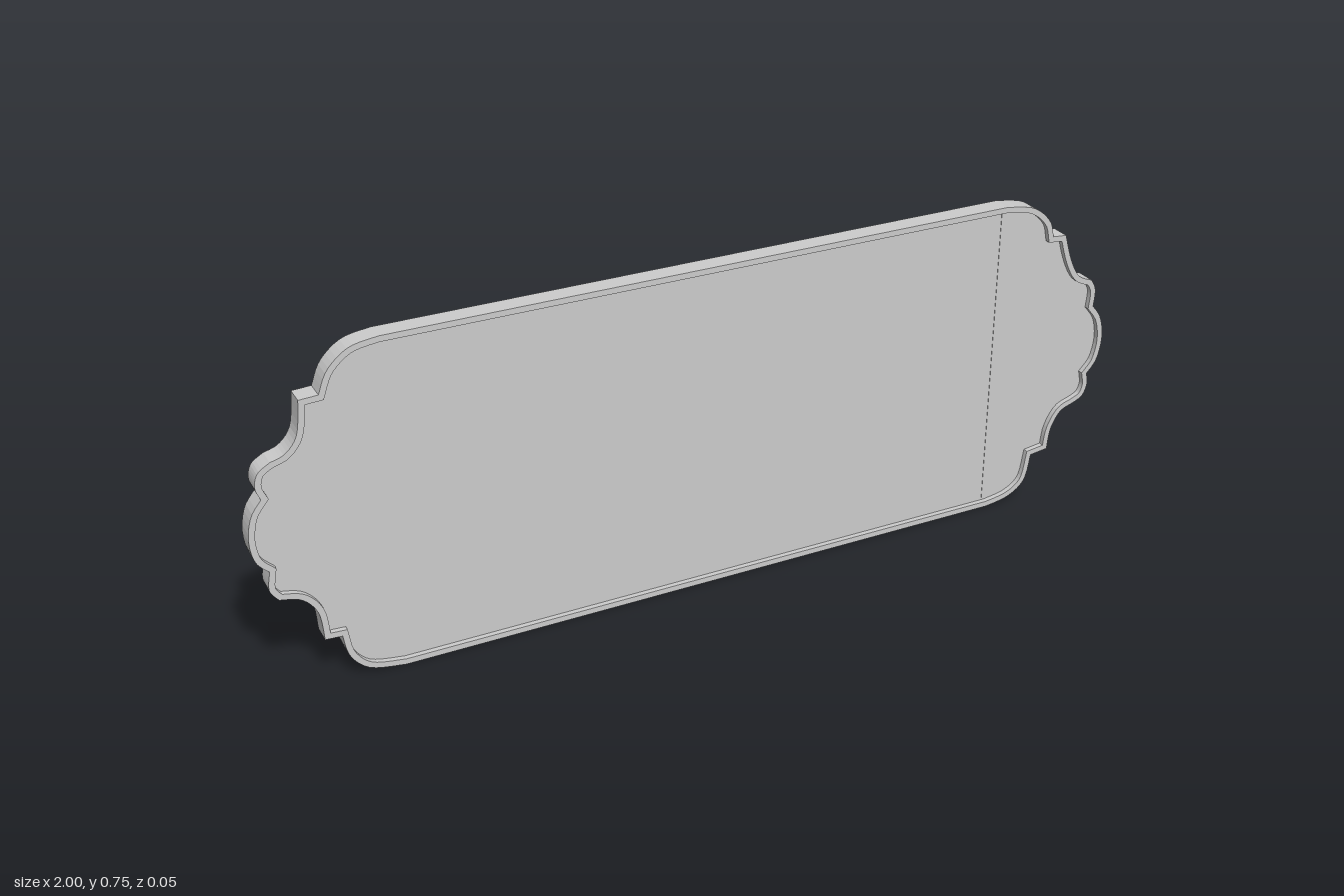
import * as THREE from 'three';

const BACK = -0.0225, FRONT = 0.0225, RECESS = 0.012, RIM = 0.013;

// Each end is a chain of curved lobes; corners stay sharp where lobes meet.
const rightLobes = [
  [[0.71, 0], [0.77, 0.012], [0.812, 0.045], [0.826, 0.108]],
  [[0.826, 0.108], [0.87, 0.114]],
  [[0.87, 0.114], [0.877, 0.165], [0.9, 0.205], [0.93, 0.218]],
  [[0.93, 0.218], [0.958, 0.232], [0.97, 0.26], [0.966, 0.289]],
  [[0.966, 0.289], [0.99, 0.32], [1, 0.374], [0.99, 0.426], [0.966, 0.46]],
  [[0.966, 0.46], [0.968, 0.5], [0.955, 0.527]],
  [[0.955, 0.527], [0.918, 0.545], [0.892, 0.59], [0.872, 0.652]],
  [[0.872, 0.652], [0.838, 0.655]],
  [[0.838, 0.655], [0.825, 0.695], [0.78, 0.733], [0.71, 0.748]],
];
const leftLobes = [
  [[-0.71, 0.748], [-0.77, 0.737], [-0.815, 0.7], [-0.836, 0.652]],
  [[-0.836, 0.652], [-0.876, 0.65]],
  [[-0.876, 0.65], [-0.885, 0.58], [-0.91, 0.545], [-0.942, 0.533]],
  [[-0.942, 0.533], [-0.968, 0.515], [-0.976, 0.485], [-0.967, 0.458]],
  [[-0.967, 0.458], [-0.99, 0.425], [-1, 0.374], [-0.992, 0.325], [-0.967, 0.296]],
  [[-0.967, 0.296], [-0.972, 0.255], [-0.955, 0.228]],
  [[-0.955, 0.228], [-0.91, 0.215], [-0.88, 0.175], [-0.873, 0.11]],
  [[-0.873, 0.11], [-0.837, 0.108]],
  [[-0.837, 0.108], [-0.825, 0.055], [-0.785, 0.015], [-0.71, 0]],
];

function outline() {
  const points = [];
  for (const lobe of [...rightLobes, ...leftLobes]) {
    const v = lobe.map(([x, y]) => new THREE.Vector2(x, y));
    const last = lobe === rightLobes.at(-1) || lobe === leftLobes.at(-1);
    const sampled = v.length === 2 ? v : new THREE.SplineCurve(v).getPoints(14);
    points.push(...(last ? sampled : sampled.slice(0, -1)));
  }
  return points.filter((p, i) => p.distanceTo(points[(i + 1) % points.length]) > 1e-5);
}

// Moves a counter-clockwise loop inwards by an even distance.
function inset(points, distance) {
  const n = points.length;
  return points.map((p, i) => {
    const a = p.clone().sub(points[(i + n - 1) % n]).normalize();
    const b = points[(i + 1) % n].clone().sub(p).normalize();
    const normal = new THREE.Vector2(-a.y - b.y, a.x + b.x).normalize();
    const miter = Math.max(0.6, normal.dot(new THREE.Vector2(-a.y, a.x)));
    return p.clone().addScaledVector(normal, distance / miter);
  });
}

export function createModel() {
  const group = new THREE.Group();
  group.name = 'plaque';
  const material = new THREE.MeshStandardMaterial({ color: 0xcccccc, flatShading: true });
  const add = (name, geometry, x, y, z) => {
    const mesh = new THREE.Mesh(geometry, material);
    mesh.name = name;
    mesh.position.set(x, y, z);
    group.add(mesh);
  };
  const edge = outline();

  // Back panel with the recessed front face
  const panelDepth = FRONT - RECESS - BACK;
  add('panel', new THREE.ExtrudeGeometry(new THREE.Shape(edge),
    { depth: panelDepth, bevelEnabled: false }), 0, 0, BACK);

  // Narrow raised border
  const border = new THREE.Shape(edge);
  border.holes.push(new THREE.Path(inset(edge, RIM).reverse()));
  add('rim', new THREE.ExtrudeGeometry(border,
    { depth: RECESS, bevelEnabled: false }), 0, 0, FRONT - RECESS);

  // Fine seam across the face
  add('seam', new THREE.BoxGeometry(0.004, 0.71, 0.002), 0.705, 0.374, FRONT - RECESS);
  return group;
}
